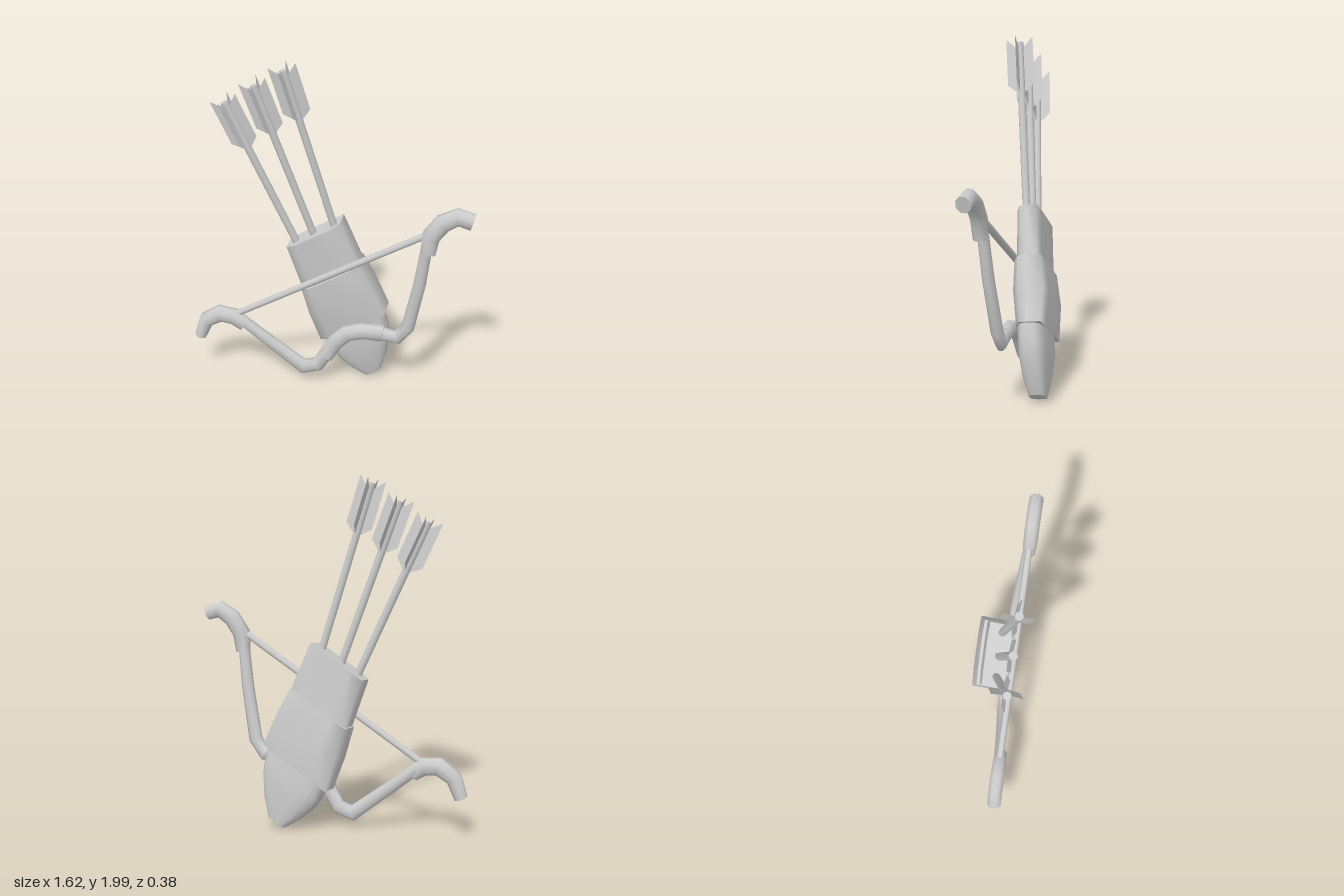
import * as THREE from 'three';

const material = new THREE.MeshStandardMaterial({ color: 0xcccccc });
const finMaterial = new THREE.MeshStandardMaterial({ color: 0xcccccc, side: THREE.DoubleSide });
const V = (x, y, z) => new THREE.Vector3(x, y, z);

// Closed outlines in unit (u, v) space, counter-clockwise
function roundOutline(sides, power) {
  const bend = (t) => Math.sign(t) * Math.pow(Math.abs(t), power);
  return Array.from({ length: sides }, (_, j) => {
    const a = ((j + 0.5) / sides) * Math.PI * 2;
    return [bend(Math.cos(a)), bend(Math.sin(a))];
  });
}
// square corners at the back, chamfered corners at the front
const sleeveOutline = [
  [1, 0], [1, 0.55], [0.65, 1], [0, 1], [-0.65, 1], [-1, 0.55],
  [-1, 0], [-1, -0.95], [-0.5, -1], [0, -1], [0.5, -1], [1, -0.95],
];
const tipOutline = roundOutline(16, 0.6);
const tubeOutline = roundOutline(8, 1);

// Skin over rings { c, u, v }: centre and two half axes, with u x v pointing to the next ring
function loft(name, rings, outline) {
  const pos = [], idx = [], sides = outline.length;
  const addRing = ({ c, u, v }) => {
    const start = pos.length / 3;
    for (const [a, b] of outline) {
      pos.push(...c.clone().addScaledVector(u, a).addScaledVector(v, b).toArray());
    }
    return start;
  };
  const starts = rings.map(addRing);
  for (let i = 0; i < rings.length - 1; i++) {
    for (let j = 0; j < sides; j++) {
      const k = (j + 1) % sides, a = starts[i], b = starts[i + 1];
      idx.push(a + j, a + k, b + j, a + k, b + k, b + j);
    }
  }
  // end caps with their own vertices, so the rims stay sharp
  const first = addRing(rings[0]), last = addRing(rings[rings.length - 1]);
  for (let j = 1; j < sides - 1; j++) {
    idx.push(first, first + j + 1, first + j, last, last + j, last + j + 1);
  }
  const geo = new THREE.BufferGeometry();
  geo.setAttribute('position', new THREE.Float32BufferAttribute(pos, 3));
  geo.setIndex(idx);
  geo.computeVertexNormals();
  const mesh = new THREE.Mesh(geo, material);
  mesh.name = name;
  return mesh;
}

// Quiver section from rows of [x, y, z, half width, half depth], top to bottom
function quiverSection(name, outline, rows) {
  return loft(name, rows.map(([x, y, z, w, d]) => ({
    c: V(x, y, z), u: V(0.86 * w, 0.51 * w, 0), v: V(0, -0.13 * d, d),
  })), outline);
}

// Bow part along rows of [x, y, z, half width, half depth]
function bowPart(name, rows) {
  const rings = rows.map(([x, y, z, w, d], i) => {
    const dir = (a, b) => V(b[0] - a[0], b[1] - a[1], 0).normalize();
    const t = V(0, 0, 0);
    if (i > 0) t.add(dir(rows[i - 1], rows[i]));
    if (i < rows.length - 1) t.add(dir(rows[i], rows[i + 1]));
    t.normalize();
    return { c: V(x, y, z), u: V(-t.y * w, t.x * w, 0), v: V(0, 0, d) };
  });
  return loft(name, rings, tubeOutline);
}

function rod(name, a, b, radius) {
  const geo = new THREE.CylinderGeometry(radius, radius, a.distanceTo(b), 8);
  const mesh = new THREE.Mesh(geo, material);
  mesh.name = name;
  mesh.position.copy(a).lerp(b, 0.5);
  mesh.quaternion.setFromUnitVectors(V(0, 1, 0), b.clone().sub(a).normalize());
  return mesh;
}

// Arrow with four swept fins: left, right, front and back
function arrow(foot, top) {
  const g = new THREE.Group();
  g.name = 'arrow';
  g.add(rod('arrowShaft', foot, top, 0.022));
  const outline = [[0, -0.03], [0, -0.29], [0.025, -0.285], [0.078, -0.24], [0.078, 0.025], [0.02, -0.03]];
  const fin = new THREE.ShapeGeometry(new THREE.Shape(outline.map(([x, y]) => new THREE.Vector2(x, y))));
  const fletching = new THREE.Group();
  fletching.name = 'fletching';
  fletching.position.copy(top);
  fletching.quaternion.setFromUnitVectors(V(0, 1, 0), top.clone().sub(foot).normalize());
  for (let i = 0; i < 4; i++) {
    const mesh = new THREE.Mesh(fin, finMaterial);
    mesh.name = 'fin';
    mesh.rotation.y = (i * Math.PI) / 2;
    fletching.add(mesh);
  }
  g.add(fletching);
  return g;
}

export function createModel() {
  const model = new THREE.Group();
  model.name = 'bowAndQuiver';

  // Quiver: three overlapping sleeves
  const quiver = new THREE.Group();
  quiver.name = 'quiver';
  quiver.add(
    quiverSection('upperSleeve', sleeveOutline, [
      [-0.095, 0.975, -0.018, 0.18, 0.066],
      [0.02, 0.65, -0.055, 0.192, 0.07],
    ]),
    quiverSection('middleSleeve', sleeveOutline, [
      [-0.005, 0.71, -0.05, 0.194, 0.085],
      [0.05, 0.55, -0.075, 0.21, 0.098],
      [0.12, 0.365, -0.1, 0.222, 0.08],
    ]),
    quiverSection('lowerTip', tipOutline, [
      [0.125, 0.37, -0.1, 0.2, 0.077],
      [0.15, 0.29, -0.11, 0.197, 0.08],
      [0.178, 0.218, -0.118, 0.176, 0.077],
      [0.212, 0.12, -0.13, 0.122, 0.065],
      [0.237, 0.034, -0.143, 0.057, 0.048],
    ]),
  );
  model.add(quiver);

  // Arrows
  model.add(
    arrow(V(-0.16, 0.82, -0.02), V(-0.55, 1.745, 0.105)),
    arrow(V(-0.07, 0.88, -0.02), V(-0.385, 1.85, 0.108)),
    arrow(V(0.045, 0.94, -0.02), V(-0.222, 1.945, 0.11)),
  );

  // Bow
  const bow = new THREE.Group();
  bow.name = 'bow';
  bow.add(
    bowPart('lowerLimb', [
      [-0.56, 0.415, 0.06, 0.032, 0.03], [-0.35, 0.245, 0.04, 0.038, 0.032],
      [-0.16, 0.09, 0.018, 0.048, 0.033], [-0.07, 0.118, 0.015, 0.045, 0.033],
      [0.0, 0.235, 0.022, 0.044, 0.033],
    ]),
    bowPart('grip', [
      [-0.02, 0.19, 0.022, 0.048, 0.037], [0.04, 0.3, 0.028, 0.05, 0.038],
      [0.11, 0.37, 0.032, 0.05, 0.039], [0.2, 0.398, 0.032, 0.05, 0.039],
      [0.32, 0.392, 0.022, 0.049, 0.037],
    ]),
    bowPart('upperLimb', [
      [0.3, 0.395, 0.02, 0.042, 0.033], [0.4, 0.373, 0.012, 0.042, 0.033],
      [0.46, 0.455, 0.015, 0.042, 0.033], [0.52, 0.75, 0.04, 0.037, 0.032],
      [0.56, 1.05, 0.06, 0.032, 0.03],
    ]),
    bowPart('lowerHook', [
      [-0.78, 0.25, 0.068, 0.036, 0.043], [-0.738, 0.36, 0.068, 0.048, 0.044],
      [-0.65, 0.415, 0.068, 0.053, 0.044], [-0.565, 0.405, 0.068, 0.053, 0.044],
      [-0.5, 0.36, 0.065, 0.047, 0.038],
    ]),
    bowPart('upperHook', [
      [0.563, 0.965, 0.065, 0.044, 0.038], [0.575, 1.07, 0.068, 0.053, 0.044],
      [0.635, 1.155, 0.068, 0.053, 0.044], [0.715, 1.2, 0.068, 0.05, 0.044],
      [0.795, 1.178, 0.068, 0.047, 0.043],
    ]),
    rod('bowString', V(-0.56, 0.42, 0.066), V(0.57, 1.085, 0.066), 0.02),
  );
  model.add(bow);
  return model;
}
